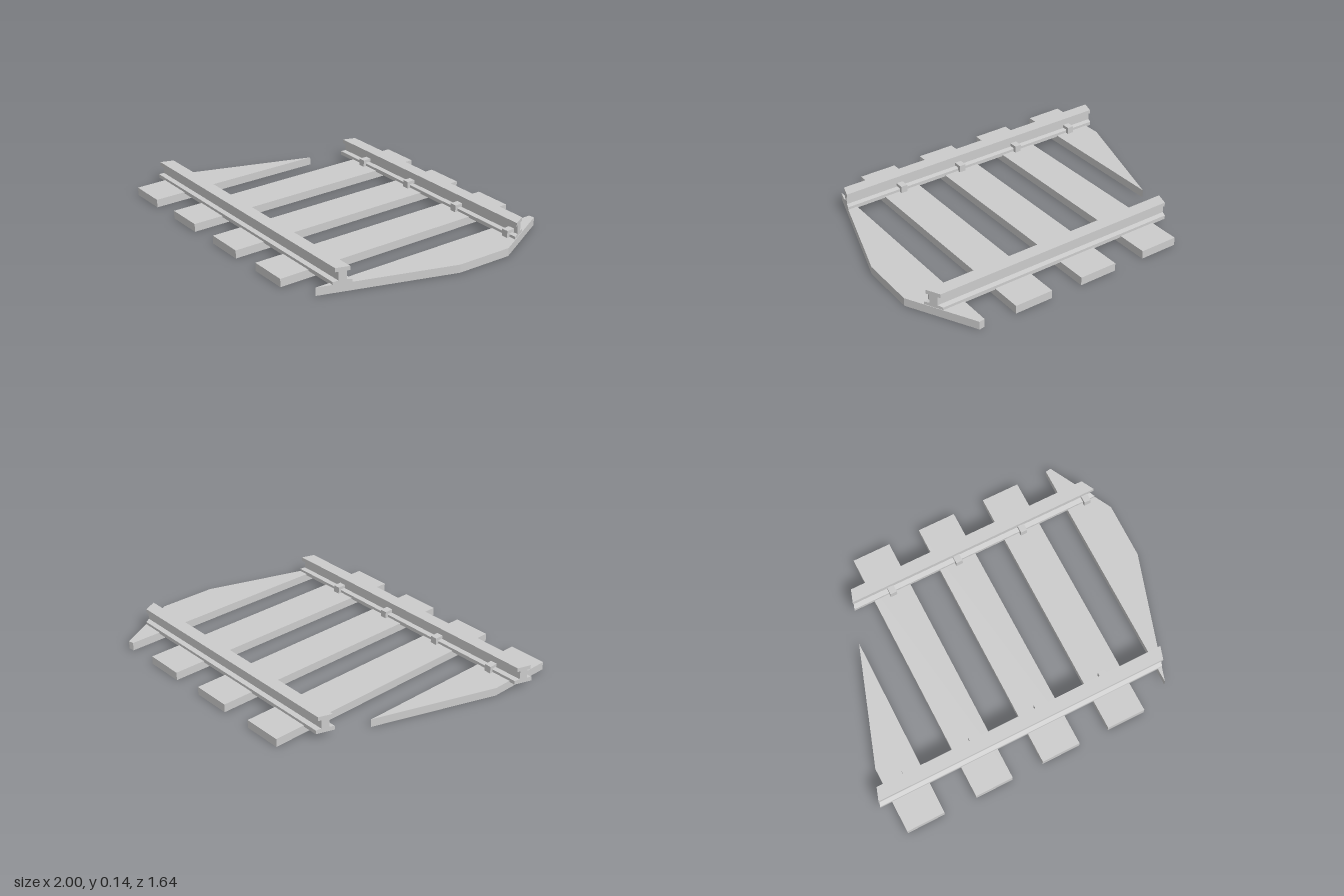
import * as THREE from 'three';

const SLOPE = 0.327;                 // sideways drift of the rails per unit of z
const ANGLE = Math.atan(SLOPE);
const BACK = -0.825, FRONT = 0.82;

const material = new THREE.MeshStandardMaterial({ color: 0xcccccc, flatShading: true });

function polygon(points) {
  return new THREE.Shape(points.map(([x, y]) => new THREE.Vector2(x, y)));
}

function addMesh(group, geometry, name) {
  const mesh = new THREE.Mesh(geometry, material);
  mesh.name = name;
  group.add(mesh);
  return mesh;
}

// Flat wooden plank from its outline in x, z
function addSleeper(group, outline) {
  const shape = polygon(outline.map(([x, z]) => [x, -z]));
  const geometry = new THREE.ExtrudeGeometry(shape, { depth: 0.047, bevelEnabled: false });
  geometry.rotateX(-Math.PI / 2);
  addMesh(group, geometry, 'sleeper');
}

// I-shaped rail, slanted along z; frontZ gives the front end for each profile x
function addRail(group, name, centre, frontZ) {
  const half = [[0.052, 0.04], [0.052, 0.062], [0.022, 0.066], [0.022, 0.115], [0.04, 0.115], [0.04, 0.138]];
  const mirrored = half.map(([x, y]) => [-x, y]).reverse();
  const geometry = new THREE.ExtrudeGeometry(polygon([...half, ...mirrored]), { depth: 1, bevelEnabled: false });
  const pos = geometry.attributes.position;
  for (let i = 0; i < pos.count; i++) {
    const x = pos.getX(i);
    const z = pos.getZ(i) > 0.5 ? frontZ(x) : BACK;
    pos.setXYZ(i, centre + x + SLOPE * z, pos.getY(i), z);
  }
  geometry.computeVertexNormals();
  addMesh(group, geometry, name);
}

// Hooked clip that grips the rail foot; side is the direction away from the web
function addClip(group, centre, z, side) {
  const hook = [[0.018, 0.07], [0.053, 0.07], [0.053, 0.04], [0.071, 0.04], [0.071, 0.088], [0.018, 0.088]];
  const shape = polygon(hook.map(([x, y]) => [x * side, y]));
  const geometry = new THREE.ExtrudeGeometry(shape, { depth: 0.04, bevelEnabled: false });
  geometry.translate(0, 0, -0.02);
  const clip = addMesh(group, geometry, 'railClip');
  clip.rotation.y = ANGLE;
  clip.position.set(centre + SLOPE * z, 0, z);
}

export function createModel() {
  const group = new THREE.Group();
  group.name = 'trackSection';

  // Sleepers, the first and last trimmed by the ends of the section
  [
    [[-1, -0.70], [-0.635, BACK], [0.095, BACK], [-0.93, -0.49]],
    [[-0.87, -0.31], [0.6, -0.795], [0.67, -0.58], [-0.8, -0.1]],
    [[-0.74, 0.075], [0.73, -0.4], [0.8, -0.185], [-0.67, 0.29]],
    [[-0.61, 0.46], [0.86, -0.005], [0.93, 0.21], [-0.54, 0.675]],
    [[-0.4, FRONT], [0.985, 0.39], [1, 0.42], [0.698, 0.725], [0.38, FRONT]],
  ].forEach((outline) => addSleeper(group, outline));

  // Rails, one cut square to z and the other cut on the corner diagonal
  const rightCentre = -0.527, leftCentre = 0.618;
  addRail(group, 'rightRail', rightCentre, () => FRONT);
  addRail(group, 'leftRail', leftCentre, (x) => (1.418 - leftCentre - x) / (1 + SLOPE));

  // Clips on the inner side of each rail, one per sleeper
  for (let i = 0; i < 4; i++) {
    addClip(group, rightCentre, -0.645 + 0.381 * i, 1);
    addClip(group, leftCentre, -0.615 + 0.395 * i, -1);
  }
  return group;
}
